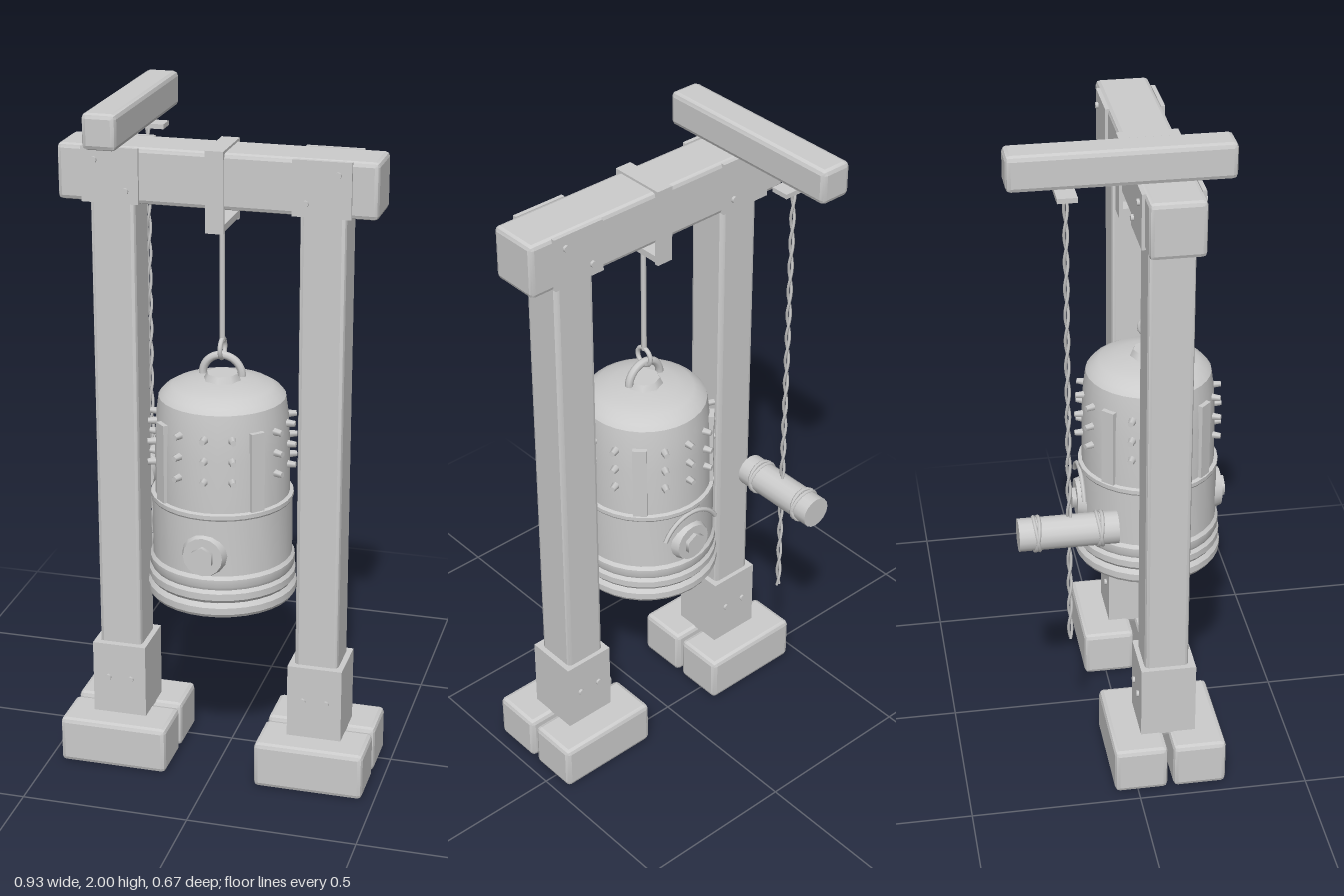
import * as THREE from 'three';
import { RoundedBoxGeometry } from 'three/addons/geometries/RoundedBoxGeometry.js';
import { toCreasedNormals } from 'three/addons/utils/BufferGeometryUtils.js';

const grey = new THREE.MeshStandardMaterial({ color: 0xcccccc });
const ZC = 0.103; // depth of the frame and bell centre line

function add(parent, name, geometry, x = 0, y = 0, z = 0) {
  const mesh = new THREE.Mesh(geometry, grey);
  mesh.name = name;
  mesh.position.set(x, y, z);
  parent.add(mesh);
  return mesh;
}

const box = (w, h, d) => new THREE.BoxGeometry(w, h, d);

// Box with small chamfered edges
const timber = (w, h, d, r) => toCreasedNormals(new RoundedBoxGeometry(w, h, d, 1, r), 0.3);

// Cylinder lying along z
const zCylinder = (r1, r2, length, sides) =>
  new THREE.CylinderGeometry(r1, r2, length, sides).rotateX(Math.PI / 2);

function buildFrame() {
  const frame = new THREE.Group();
  frame.name = 'frame';
  add(frame, 'topBeam', timber(0.91, 0.16, 0.155, 0.013), 0, 1.81, ZC - 0.005);

  for (const s of [-1, 1]) {
    const x = s * 0.3;
    // Twin footing stones
    for (const t of [-1, 1]) {
      add(frame, 'footingStone', timber(0.328, 0.143, 0.158, 0.014), x, 0.0715, ZC - 0.005 + t * 0.0875);
    }
    add(frame, 'post', timber(0.13, 1.65, 0.13, 0.012), x, 0.94, ZC - 0.003);
    add(frame, 'postBoot', box(0.163, 0.23, 0.163), x, 0.255, ZC);

    // Plates and bolts on both faces
    for (const f of [-1, 1]) {
      add(frame, 'beamPlate', box(0.165, 0.158, 0.012), x, 1.81, ZC - 0.005 + f * 0.08);
      for (const b of [-1, 1]) {
        add(frame, 'plateBolt', zCylinder(0.01, 0.01, 0.012, 8), x + b * 0.045, 1.81 + b * s * 0.042, ZC - 0.005 + f * 0.088);
        add(frame, 'bootBolt', zCylinder(0.01, 0.01, 0.012, 8), x + b * 0.035, 0.26, ZC + f * 0.083);
      }
    }
  }

  // Hanger strap wrapped over the middle of the beam
  for (const f of [-1, 1]) {
    add(frame, 'hangerStrap', box(0.052, 0.23, 0.012), 0, 1.78, ZC - 0.005 + f * 0.081);
  }
  add(frame, 'hangerTop', box(0.052, 0.01, 0.174), 0, 1.892, ZC - 0.005);
  add(frame, 'hangerCrossbar', box(0.05, 0.02, 0.165), 0, 1.68, ZC - 0.005);
  return frame;
}

function buildBell() {
  const bell = new THREE.Group();
  bell.name = 'bell';
  bell.position.z = ZC;

  // Outer wall from the lip to the crown, then down the inside
  const profile = [
    [0.185, 0.565], [0.212, 0.565], [0.218, 0.575], [0.218, 0.595], [0.212, 0.603],
    [0.208, 0.608], [0.215, 0.618], [0.215, 0.638], [0.207, 0.648], [0.212, 0.658],
    [0.212, 0.68], [0.204, 0.69], [0.204, 0.86], [0.207, 0.865], [0.207, 0.877],
    [0.196, 0.88], [0.195, 1.03], [0.19, 1.12], [0.183, 1.17], [0.17, 1.185],
    [0.145, 1.2], [0.1, 1.21], [0.05, 1.217], [0, 1.218],
  ].map(([r, y]) => new THREE.Vector2(r, y));
  add(bell, 'bellOuterWall', toCreasedNormals(new THREE.LatheGeometry(profile, 32), 0.5));
  const inner = [[0, 1.18], [0.13, 1.17], [0.165, 1.12], [0.175, 0.9], [0.185, 0.565]]
    .map(([r, y]) => new THREE.Vector2(r, y));
  add(bell, 'bellInnerWall', new THREE.LatheGeometry(inner, 32));

  for (let q = 0; q < 4; q++) {
    // Three columns of studs facing each side
    for (const offset of [-0.41, 0, 0.41]) {
      for (const y of [0.975, 1.037, 1.1]) {
        const a = q * Math.PI / 2 + offset;
        const r = y > 1.05 ? 0.198 : 0.201;
        const stud = add(bell, 'stud', zCylinder(0.009, 0.013, 0.034, 6), r * Math.sin(a), y, r * Math.cos(a));
        stud.rotation.y = a;
      }
    }
    // Upright rib between the stud groups
    const a = (q + 0.5) * Math.PI / 2;
    const rib = add(bell, 'rib', box(0.042, 0.236, 0.02), 0.194 * Math.sin(a), 0.998, 0.194 * Math.cos(a));
    rib.rotation.y = a;
  }

  // Round striking bosses on the front and back
  for (const f of [-1, 1]) {
    add(bell, 'strikingBoss', zCylinder(f > 0 ? 0.058 : 0.07, f > 0 ? 0.07 : 0.058, 0.035, 16), 0, 0.752, f * 0.2);
    add(bell, 'bossCentre', zCylinder(0.034, 0.034, 0.025, 6), 0, 0.752, f * 0.218);
  }
  // Raised curved moulding over the back boss
  add(bell, 'backMoulding', new THREE.TorusGeometry(0.11, 0.007, 6, 16, 2.2).rotateZ(0.47), 0, 0.745, -0.205);

  // Crown, arched handle, link and hanging rod
  add(bell, 'crownBoss', new THREE.CylinderGeometry(0.045, 0.058, 0.025, 8), 0, 1.223, 0);
  add(bell, 'archHandle', new THREE.TorusGeometry(0.058, 0.012, 8, 20, Math.PI), 0, 1.23, 0);
  add(bell, 'link', new THREE.TorusGeometry(0.028, 0.007, 8, 16).rotateY(Math.PI / 2), 0, 1.308, 0);
  add(bell, 'hangingRod', new THREE.CylinderGeometry(0.008, 0.008, 0.35, 8), 0, 1.505, 0);
  return bell;
}

function buildStriker() {
  const striker = new THREE.Group();
  striker.name = 'striker';
  striker.position.x = -0.3;
  add(striker, 'strikerBeam', timber(0.098, 0.102, 0.612, 0.014), 0, 1.949, -0.031);
  add(striker, 'ropePlate', box(0.11, 0.014, 0.055), 0, 1.873, -0.178);

  // Two strands twisted into a rope
  for (const phase of [0, Math.PI]) {
    const points = [];
    for (let i = 0; i <= 72; i++) {
      const a = i * Math.PI / 4 + phase;
      points.push(new THREE.Vector3(0.005 * Math.cos(a), 1.87 - i * 1.41 / 72, -0.176 + 0.005 * Math.sin(a)));
    }
    add(striker, 'ropeStrand', new THREE.TubeGeometry(new THREE.CatmullRomCurve3(points), 144, 0.0045, 5));
  }

  // Mallet log with a binding near each end
  add(striker, 'mallet', zCylinder(0.048, 0.048, 0.285, 16), 0, 0.83, -0.18);
  for (const z of [-0.27, -0.09]) {
    for (const tilt of [-0.15, 0.15]) {
      add(striker, 'malletBinding', new THREE.TorusGeometry(0.049, 0.006, 6, 16), 0, 0.83, z).rotation.x = tilt;
    }
  }
  return striker;
}

export function createModel() {
  const model = new THREE.Group();
  model.name = 'hangingBell';
  model.add(buildFrame(), buildBell(), buildStriker());
  return model;
}
